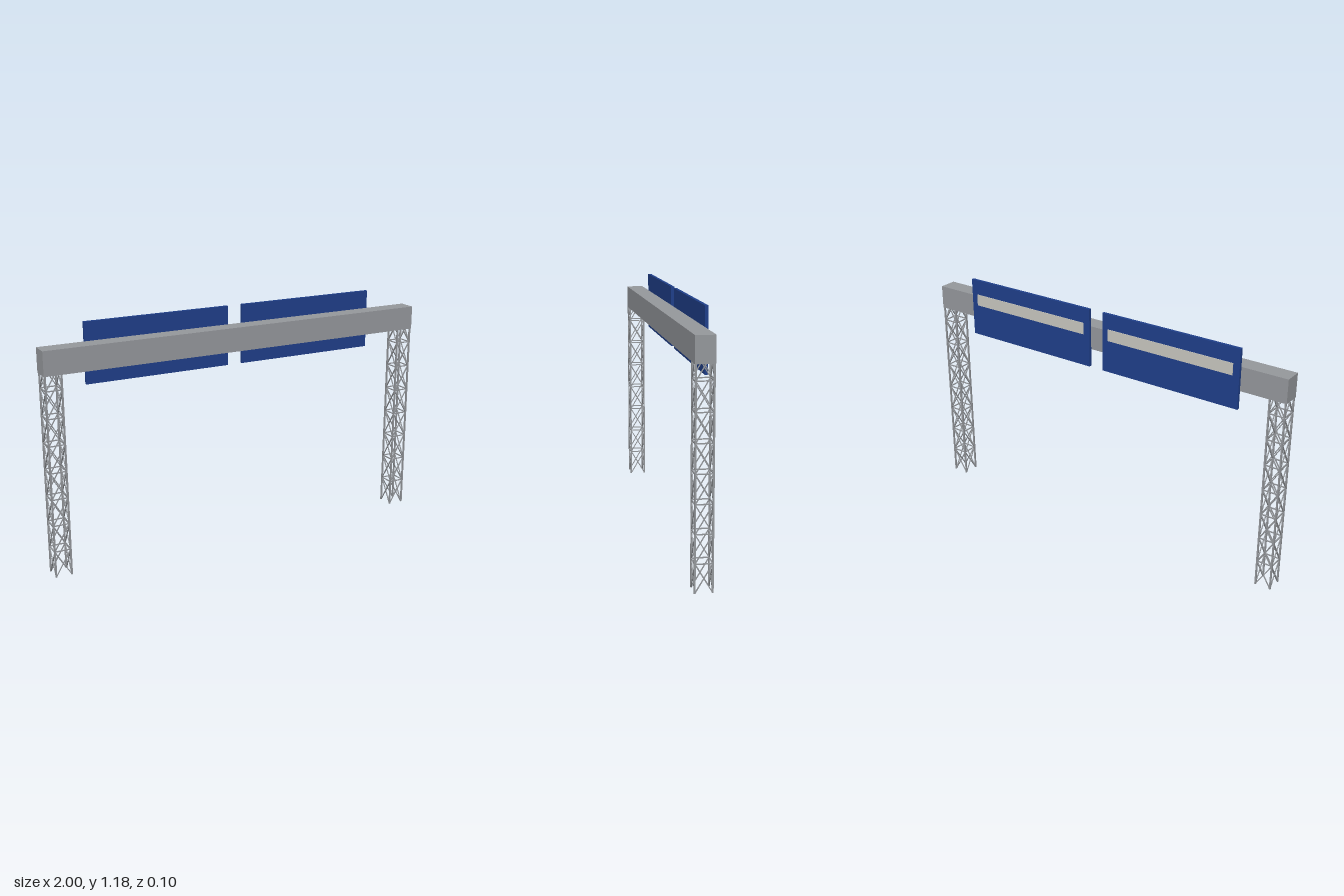
import * as THREE from 'three';

const steel = new THREE.MeshStandardMaterial({ color: 0x95989c });
steel.name = 'galvanised steel grey';
const blue = new THREE.MeshStandardMaterial({ color: 0x1f3f8a });
blue.name = 'sign blue';
const pale = new THREE.MeshStandardMaterial({ color: 0xc8c7c0 });
pale.name = 'pale strip';

// Box given by its minimum and maximum corners
function boxBetween(name, material, [x0, y0, z0], [x1, y1, z1]) {
  const mesh = new THREE.Mesh(new THREE.BoxGeometry(x1 - x0, y1 - y0, z1 - z0), material);
  mesh.position.set((x0 + x1) / 2, (y0 + y1) / 2, (z0 + z1) / 2);
  mesh.name = name;
  return mesh;
}

// Thin square bar running between two points
function bar(name, a, b, thickness) {
  const dir = b.clone().sub(a);
  const mesh = new THREE.Mesh(new THREE.BoxGeometry(thickness, dir.length(), thickness), steel);
  mesh.position.copy(a).add(b).multiplyScalar(0.5);
  mesh.quaternion.setFromUnitVectors(new THREE.Vector3(0, 1, 0), dir.normalize());
  mesh.name = name;
  return mesh;
}

// Four-legged lattice tower; the top half bay sits inside the beam
function latticeTower(name) {
  const tower = new THREE.Group();
  tower.name = name;
  const half = 0.0385, bay = 0.129, bays = 8, top = bay * bays;
  const corners = [[-1, -1], [1, -1], [1, 1], [-1, 1]];
  const at = (i, y) => new THREE.Vector3(corners[i % 4][0] * half, y, corners[i % 4][1] * half);
  for (let i = 0; i < 4; i++) {
    tower.add(bar('towerLeg', at(i, 0), at(i, top), 0.0075));
    for (let k = 0; k < bays; k++) {
      const y0 = k * bay, y1 = y0 + bay;
      tower.add(bar('crossBrace', at(i, y0), at(i + 1, y1), 0.0045));
      tower.add(bar('crossBrace', at(i + 1, y0), at(i, y1), 0.0045));
      if (k > 0) tower.add(bar('horizontalBrace', at(i, y0), at(i + 1, y0), 0.005));
    }
  }
  return tower;
}

export function createModel() {
  const model = new THREE.Group();
  model.name = 'signGantry';

  // Box beam spanning the road
  model.add(boxBetween('beam', steel, [-1, 0.973, -0.0345], [1, 1.09, 0.0525]));

  for (const side of [-1, 1]) {
    const label = side > 0 ? 'left' : 'right';

    // Support tower
    const tower = latticeTower(label + 'Tower');
    tower.position.set(side * 0.955, 0, 0.009);
    model.add(tower);

    // Sign panel on the back of the beam, with its pale strip
    const sign = new THREE.Group();
    sign.name = label + 'Sign';
    sign.position.x = side * 0.405;
    sign.add(boxBetween('signPanel', blue, [-0.367, 0.887, -0.0495], [0.367, 1.18, -0.0345]));
    sign.add(boxBetween('signStrip', pale, [-0.334, 1.047, -0.0525], [0.334, 1.105, -0.0495]));
    model.add(sign);
  }
  return model;
}
